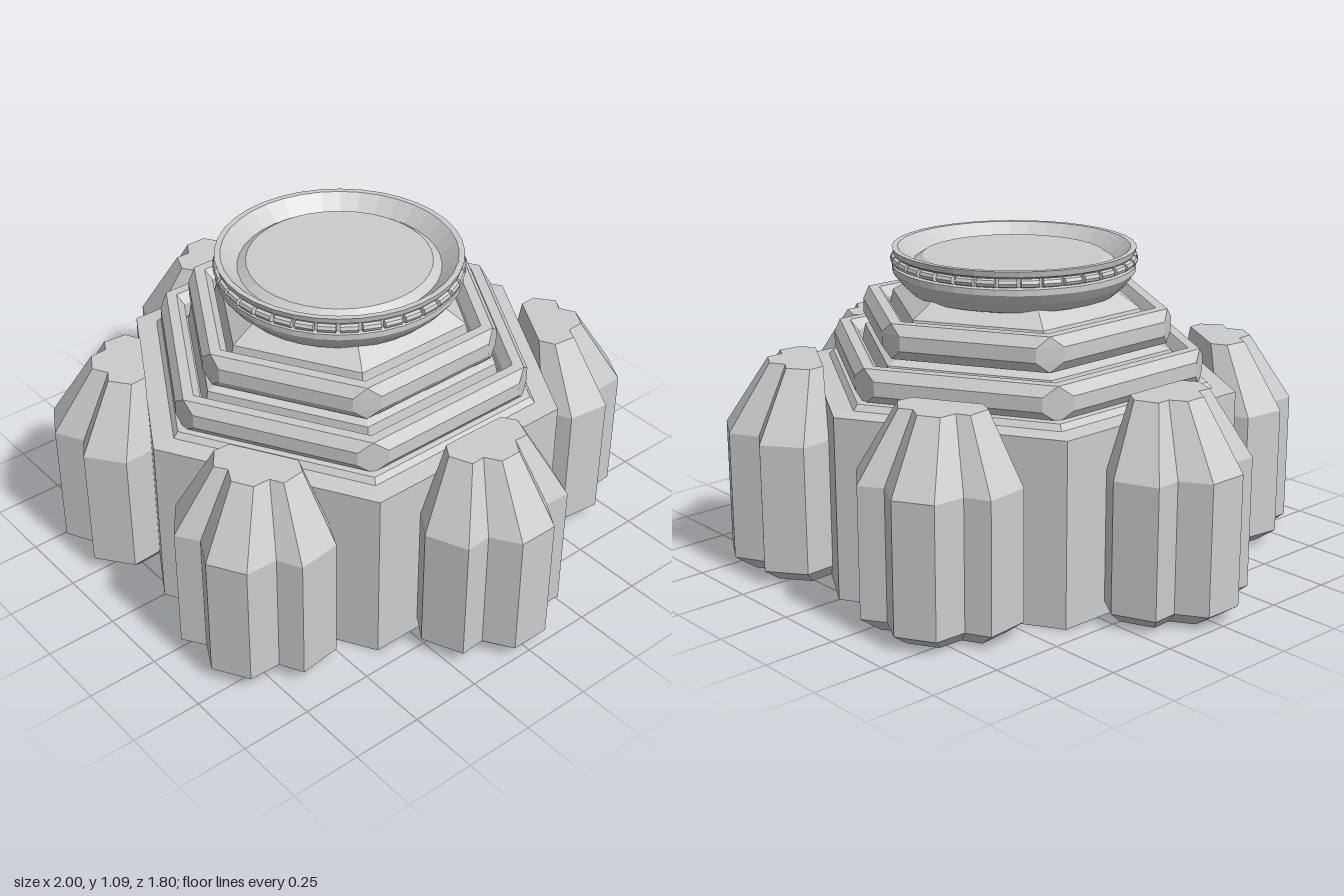
import * as THREE from 'three';

const COS30 = Math.cos(Math.PI / 6), TAN60 = Math.sqrt(3);
const mat = new THREE.MeshStandardMaterial({ color: 0xcccccc, flatShading: true });

// Skins a stack of equal-length outlines (bottom to top); caps the ends, or joins last to first.
function loft(rings, joined = false) {
  const pos = [];
  const tri = (a, b, c) => pos.push(...a, ...b, ...c);
  const n = rings[0].length, last = joined ? rings.length : rings.length - 1;
  for (let i = 0; i < last; i++) {
    const lo = rings[i], hi = rings[(i + 1) % rings.length];
    for (let j = 0; j < n; j++) {
      const k = (j + 1) % n;
      tri(lo[j], hi[j], lo[k]);
      tri(hi[j], hi[k], lo[k]);
    }
  }
  if (!joined) {
    const mean = r => [0, 1, 2].map(a => r.reduce((s, p) => s + p[a], 0) / n);
    const bottom = rings[0], top = rings[rings.length - 1];
    const cb = mean(bottom), ct = mean(top);
    for (let j = 0; j < n; j++) {
      const k = (j + 1) % n;
      tri(cb, bottom[j], bottom[k]);
      tri(ct, top[k], top[j]);
    }
  }
  const g = new THREE.BufferGeometry();
  g.setAttribute('position', new THREE.Float32BufferAttribute(pos, 3));
  g.computeVertexNormals();
  return g;
}

// Hexagon with flats at distance f and corners clipped at distance clip.
function hexOutline(f, y, clip = Infinity) {
  const pts = [], d = Math.min(f / COS30, clip), w = (f / COS30 - d) * TAN60;
  for (let k = 0; k < 6; k++) {
    const a = (k + 0.5) * Math.PI / 3, c = Math.cos(a), s = Math.sin(a);
    if (clip === Infinity) pts.push([d * c, y, d * s]);
    else for (const o of [-w, w]) pts.push([d * c - o * s, y, d * s + o * c]);
  }
  return pts;
}

// Bevelled hexagonal moulding with clipped outer corners.
function mouldingGeometry(outer, inner, y0, y1, clip) {
  const b = 0.025, v = 0.035;
  const section = [
    [inner + b, y0], [outer - b, y0], [outer, y0 + v], [outer, y1 - v],
    [outer - b, y1], [inner + b, y1], [inner, y1 - v], [inner, y0 + v],
  ];
  return loft(section.map(([f, y]) => hexOutline(f, y, clip)), true);
}

// Lobed buttress growing out of the +x wall.
function buttressGeometry() {
  const wall = 0.68;
  const half = [[0, 0.22], [0.09, 0.28], [0.23, 0.22], [0.225, 0.13], [0.32, 0.07]];
  const outline = [...half.map(([x, z]) => [x, -z]), ...half.slice().reverse()];
  const level = (s, y) => outline.map(([x, z]) => [wall + x * s, y, z * s]);
  return loft([level(0.78, 0), level(1, 0.05), level(1, 0.5), level(0.54, 0.73)]);
}

export function createModel() {
  const model = new THREE.Group();
  const add = (name, geo, parent = model) => {
    const m = new THREE.Mesh(geo, mat);
    m.name = name;
    parent.add(m);
    return m;
  };

  // Stepped hexagonal core
  const core = [
    [0.68, 0], [0.68, 0.635], [0.61, 0.64], [0.595, 0.66], [0.5, 0.675],
    [0.485, 0.765], [0.44, 0.785], [0.41, 0.8], [0.39, 0.9], [0.32, 0.95], [0.2, 0.96],
  ];
  add('hexagonalBase', loft(core.map(([f, y]) => hexOutline(f, y))));

  // Two stacked mouldings
  add('lowerMoulding', mouldingGeometry(0.595, 0.51, 0.655, 0.775, 0.658));
  add('upperMoulding', mouldingGeometry(0.495, 0.41, 0.785, 0.905, 0.545));

  // Six buttresses, one per wall
  const buttresses = new THREE.Group();
  buttresses.name = 'buttresses';
  model.add(buttresses);
  const buttress = buttressGeometry();
  for (let i = 0; i < 6; i++) add('buttress', buttress, buttresses).rotation.y = i * Math.PI / 3;

  // Round dish with a grooved waist and a raised disc inside its lip
  const dish = [
    [0, 0.915], [0.2, 0.915], [0.31, 0.925], [0.36, 0.94], [0.395, 0.975], [0.42, 1.01],
    [0.42, 1.03], [0.405, 1.035], [0.405, 1.065], [0.415, 1.07], [0.42, 1.09],
    [0.4, 1.09], [0.345, 1.04], [0.315, 1.06], [0, 1.06],
  ];
  add('dish', new THREE.LatheGeometry(dish.map(p => new THREE.Vector2(...p)), 36));

  // Beaded band around the waist
  const band = new THREE.Group();
  band.name = 'beadedBand';
  model.add(band);
  const count = 36, bead = new THREE.CylinderGeometry(0.015, 0.015, 0.06, 8);
  bead.rotateX(Math.PI / 2);
  for (let i = 0; i < count; i++) {
    const a = (i + 0.5) * 2 * Math.PI / count;
    const m = add('bead', bead, band);
    m.position.set(0.41 * Math.cos(a), 1.05, 0.41 * Math.sin(a));
    m.rotation.y = -a;
  }
  return model;
}
